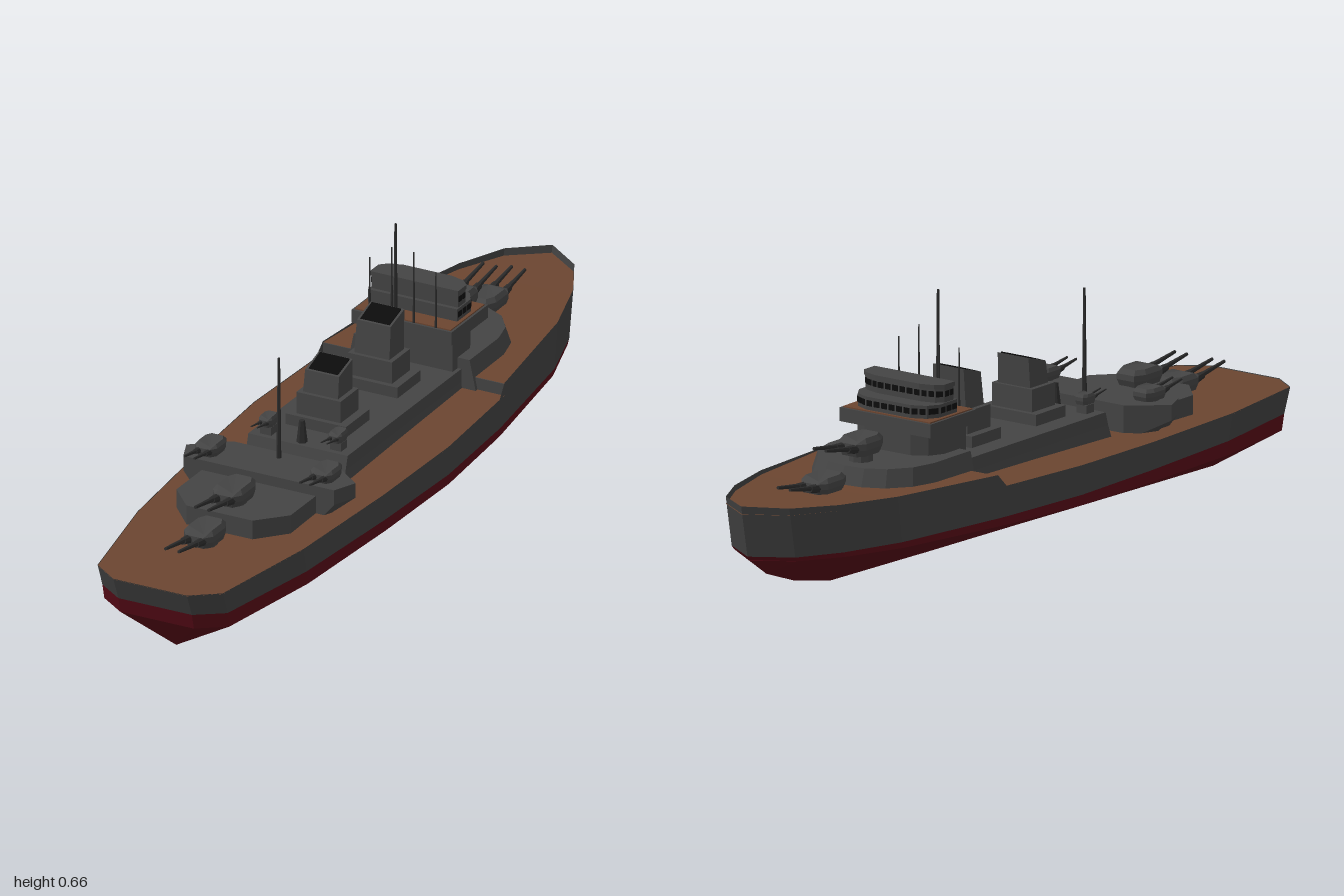
import * as THREE from 'three';

const mat = (color, side = THREE.FrontSide) => new THREE.MeshStandardMaterial({ color, side, flatShading: true });
const GREY = mat(0x444444), HULL = mat(0x404040, THREE.DoubleSide), RED = mat(0x560a16);
const WOOD = mat(0x6b4530, THREE.DoubleSide), DARK = mat(0x0c0c0c), GUN = mat(0x2c2c2c);
const lerp = THREE.MathUtils.lerp;

// Full outline (counter-clockwise from above) from half points [x, z] listed stern to bow
const outline = half => [...half, ...half.map(([x, z]) => [-x, z]).reverse()];
const level = (pts, y, s = 1, cz = 0) => pts.map(([x, z]) => [x * s, y, cz + (z - cz) * s]);

function triMesh(name, tris, material) {
  const g = new THREE.BufferGeometry();
  g.setAttribute('position', new THREE.Float32BufferAttribute(tris.flat(), 3));
  g.computeVertexNormals();
  const m = new THREE.Mesh(g, material);
  m.name = name;
  return m;
}

// Skin stacked loops from bottom to top, optionally closing both ends
function loft(name, loops, material, caps = true) {
  const t = [], n = loops[0].length;
  for (let i = 0; i < loops.length - 1; i++) {
    for (let j = 0; j < n; j++) {
      const k = (j + 1) % n, [lo, hi] = [loops[i], loops[i + 1]];
      t.push(lo[j], lo[k], hi[k], lo[j], hi[k], hi[j]);
    }
  }
  if (caps) {
    const lo = loops[0], hi = loops[loops.length - 1];
    for (let j = 1; j < n - 1; j++) t.push(hi[0], hi[j], hi[j + 1], lo[0], lo[j + 1], lo[j]);
  }
  return triMesh(name, t, material);
}

const prism = (name, half, y0, y1, material = GREY, top = 1, cz = 0) =>
  loft(name, [level(outline(half), y0), level(outline(half), y1, top, cz)], material);

// Block given by half width, z range and y range
function block(name, hw, z0, z1, y0, y1, material = GREY) {
  const m = new THREE.Mesh(new THREE.BoxGeometry(hw * 2, y1 - y0, Math.abs(z1 - z0)), material);
  m.position.set(0, (y0 + y1) / 2, (z0 + z1) / 2);
  m.name = name;
  return m;
}

function mast(name, x, z, y0, y1, r = 0.005) {
  const m = new THREE.Mesh(new THREE.CylinderGeometry(r * 0.5, r, y1 - y0, 6), GUN);
  m.position.set(x, (y0 + y1) / 2, z);
  m.name = name;
  return m;
}

// Twin turret facing +z, with its base at the origin
function turret(name, x, y, z, w, h, len, barrel, facing = 1) {
  const g = new THREE.Group();
  g.name = name;
  const half = [[w * 0.6, len * 0.5], [w, len * 0.3], [w, -len * 0.25], [w * 0.65, -len * 0.5]];
  const o = outline(half);
  const roof = level(o, h, 0.8).map(([px, py, pz]) => [px, py - (pz > len * 0.3 ? h * 0.12 : 0), pz]);
  g.add(loft('gunhouse', [level(o, h * 0.2, 0.88), level(o, h * 0.5), level(o, h * 0.78), roof], GREY));
  const ped = new THREE.Mesh(new THREE.CylinderGeometry(w * 0.75, w * 0.75, h * 0.5, 10), GREY);
  ped.name = 'turretRing';
  g.add(ped);
  for (const s of [-1, 1]) {
    const b = new THREE.Mesh(new THREE.CylinderGeometry(w * 0.1, w * 0.18, barrel, 8), GUN);
    b.rotation.x = Math.PI / 2 - 0.16;
    b.position.set(s * w * 0.45, h * 0.58 + barrel * 0.08, len * 0.42 + barrel * 0.5);
    b.name = 'gunBarrel';
    const c = new THREE.Mesh(new THREE.CylinderGeometry(w * 0.22, w * 0.3, barrel * 0.3, 8), GUN);
    c.rotation.x = b.rotation.x;
    c.position.set(s * w * 0.45, h * 0.6, len * 0.45 + barrel * 0.1);
    c.name = 'barrelSleeve';
    g.add(b, c);
  }
  g.position.set(x, y, z);
  if (facing < 0) g.rotation.y = Math.PI;
  return g;
}

// Row of small windows along the edges of a half outline, on both sides
function windowRow(half, y, h) {
  const g = new THREE.Group();
  g.name = 'bridgeWindows';
  const pts = outline(half);
  for (let i = 0; i < pts.length - 1; i++) {
    const [ax, az] = pts[i], [bx, bz] = pts[i + 1];
    const len = Math.hypot(bx - ax, bz - az), n = Math.floor(len / 0.017);
    for (let k = 0; k < n; k++) {
      const f = (k + 0.5) / n;
      const w = new THREE.Mesh(new THREE.BoxGeometry(len / n * 0.72, h, 0.004), DARK);
      w.position.set(lerp(ax, bx, f), y, lerp(az, bz, f));
      w.rotation.y = Math.atan2(-(bz - az), bx - ax);
      w.name = 'window';
      g.add(w);
    }
  }
  return g;
}

function funnel(z, top) {
  const g = new THREE.Group();
  g.name = 'funnel';
  g.add(block('funnelPlinth', 0.082, z - 0.058, z + 0.058, 0.27, 0.312));
  g.add(block('funnelBase', 0.06, z - 0.045, z + 0.045, 0.31, 0.368));
  const slant = (hw, hz, y, dy) => outline([[hw, hz], [hw, -hz]]).map(([x, pz]) => [x, y - (pz > 0 ? dy : 0), z + pz - (y - 0.36) * 0.08]);
  g.add(loft('funnelStack', [slant(0.048, 0.036, 0.36, 0), slant(0.046, 0.034, top, 0.02)], GREY));
  g.add(loft('funnelMouth', [slant(0.04, 0.029, top - 0.01, 0.02), slant(0.04, 0.029, top + 0.002, 0.02)], DARK));
  return g;
}

export function createModel() {
  const ship = new THREE.Group();
  ship.name = 'battleship';

  // Hull stations: z, half width, top edge, keel z, keel y
  const st = [
    [1, 0.1, 0.207, 0.87, 0.003], [0.95, 0.17, 0.208, 0.87, 0.003], [0.65, 0.225, 0.215, 0.65, 0.008],
    [0.3, 0.252, 0.222, 0.3, 0.016], [0, 0.265, 0.23, 0, 0.024], [-0.28, 0.25, 0.236, -0.28, 0.03],
    [-0.31, 0.247, 0.268, -0.31, 0.031], [-0.65, 0.205, 0.28, -0.65, 0.04], [-0.82, 0.155, 0.287, -0.79, 0.07],
    [-0.935, 0.095, 0.293, -0.9, 0.11], [-1, 0, 0.297, -0.965, 0.155],
  ];
  const ring = f => {
    const h = st.map(f);
    return [...h, ...h.map(([x, y, z]) => [-x, y, z]).reverse()];
  };
  const along = (z, stern, bow) => lerp(stern, bow, (1 - z) / 2);
  const keel = ring(([, , , kz, ky]) => [0, ky, kz]);
  const chine = ring(([z, w]) => [w, along(z, 0.106, 0.158), z * 0.965]);
  const water = ring(([z, w]) => [w, along(z, 0.146, 0.168), z * 0.975]);
  const edge = ring(([z, w, t]) => [w, t, z]);
  ship.add(loft('lowerHull', [keel, chine, water], RED, false));
  ship.add(loft('upperHull', [water, edge], HULL, false));

  // Planked decks, the forward one sunk behind the bulwark
  const deck = (name, rows) => {
    const t = [];
    for (let i = 0; i < rows.length - 1; i++) {
      const [z0, w0, y0] = rows[i], [z1, w1, y1] = rows[i + 1];
      const a = [-w0, y0, z0], b = [w0, y0, z0], c = [w1, y1, z1], d = [-w1, y1, z1];
      t.push(a, b, c, a, c, d);
    }
    return triMesh(name, t, WOOD);
  };
  ship.add(deck('mainDeck', [...st.slice(0, 6), [-0.31, 0.247, 0.237]].map(([z, w, y]) => [z, w, y - 0.002])));
  ship.add(deck('foreDeck', st.slice(6).map(([z, w, y]) => [z, w * 0.995, y - 0.002 - 0.025 * (-z - 0.31)])));
  ship.add(block('deckBreak', 0.246, -0.309, -0.313, 0.22, 0.265));

  // Deckhouse and forward superstructure
  ship.add(loft('deckhouse', [
    level(outline([[0.14, 0.29], [0.14, -0.33]]), 0.2),
    level(outline([[0.135, 0.275], [0.135, -0.33]]), 0.25),
    level(outline([[0.135, 0.265], [0.135, -0.33]]), 0.284)], GREY));
  const fore = [[0.175, -0.3], [0.175, -0.46], [0.158, -0.53], [0.115, -0.587], [0.06, -0.615], [0, -0.622]];
  ship.add(prism('foreSuperstructure', fore, 0.23, 0.312, GREY, 0.9, -0.3));

  // Bridge tower
  const dShape = (w, zb, zf) => [[w, zb], [w, lerp(zb, zf, 0.6)], [w * 0.85, lerp(zb, zf, 0.85)], [w * 0.55, zf], [0, zf]];
  ship.add(prism('bridgeTower', dShape(0.125, -0.275, -0.42), 0.28, 0.368));
  ship.add(prism('bridgePlatform', [[0.136, -0.25], [0.136, -0.43]], 0.366, 0.4));
  ship.add(prism('bridgeFloor', [[0.13, -0.256], [0.13, -0.424]], 0.398, 0.403, WOOD));
  const lower = dShape(0.121, -0.305, -0.418), upper = dShape(0.118, -0.315, -0.375);
  ship.add(prism('lowerBridge', lower, 0.4, 0.435));
  ship.add(windowRow(lower, 0.42, 0.014));
  ship.add(prism('upperBridge', upper, 0.43, 0.472));
  ship.add(windowRow(upper, 0.456, 0.014));
  ship.add(prism('bridgeRoof', dShape(0.12, -0.312, -0.382), 0.469, 0.48));

  ship.add(funnel(0.118, 0.443), funnel(-0.137, 0.47));

  // Aft gun platforms: flared side wings and the raised centre
  const wing = s => outline([[0.14, 0.46], [0.16 + 0.045 * s, 0.46], [0.16 + 0.07 * s, 0.4], [0.14, 0.33]]);
  ship.add(loft('wingPlatform', [level(wing(0.1), 0.2), level(wing(1), 0.25), level(wing(1), 0.288)], GREY));
  ship.add(prism('aftPlatform', [[0.09, 0.655], [0.155, 0.585], [0.155, 0.44]], 0.2, 0.262));

  // Main and secondary turrets
  ship.add(turret('aftLowerTurret', 0, 0.21, 0.725, 0.04, 0.052, 0.11, 0.12));
  ship.add(turret('aftUpperTurret', 0, 0.26, 0.58, 0.04, 0.052, 0.115, 0.115));
  ship.add(turret('foreLowerTurret', 0, 0.258, -0.675, 0.04, 0.05, 0.11, 0.11, -1));
  ship.add(turret('foreUpperTurret', 0, 0.32, -0.525, 0.04, 0.055, 0.105, 0.12, -1));
  for (const s of [-1, 1]) {
    ship.add(turret('wingTurret', s * 0.157, 0.284, 0.41, 0.03, 0.038, 0.08, 0.075));
    ship.add(turret('smallTurret', s * 0.095, 0.3, 0.238, 0.018, 0.032, 0.05, 0.05));
    ship.add(block('smallTurretStand', 0.015, 0.222, 0.252, 0.28, 0.305).translateX(s * 0.095));
    ship.add(mast('innerAerial', s * 0.03, -0.256, 0.4, 0.585, 0.003));
    ship.add(mast('outerAerial', s * 0.09, -0.256, 0.4, 0.546, 0.003));
  }

  // Masts and aft director
  ship.add(mast('mainMast', 0, -0.22, 0.28, 0.668, 0.006));
  ship.add(mast('aftMast', 0, 0.36, 0.28, 0.55, 0.006));
  ship.add(mast('aftDirector', 0, 0.245, 0.28, 0.34, 0.014));
  return ship;
}
